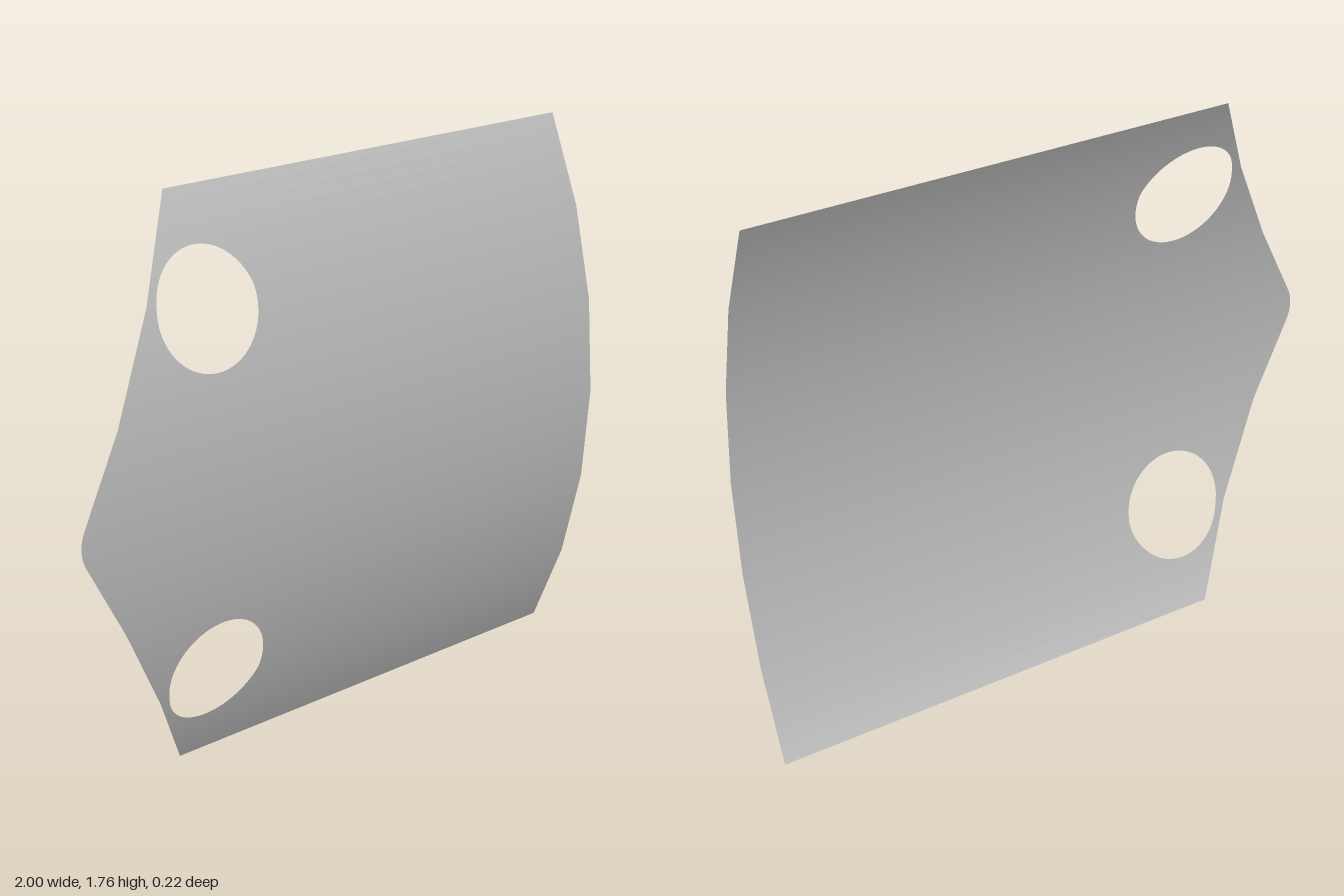
import * as THREE from 'three';
import { mergeGeometries } from 'three/addons/utils/BufferGeometryUtils.js';

const HALF = 0.882;                          // half height of the plate
const FRONT = 0.108, RADIUS = 1.908;         // crest of the bend and its radius
const HOLE = { x: -0.49, v: 0.556, r: 0.173 };
const NOSE = 0.1;                            // rounding of the pointed end
const SLOPE = 0.538, CORNER = -0.54;

// Bend: six flat facets across the height, on one arc (v = height from middle)
const arcZ = v => FRONT - RADIUS + Math.sqrt(RADIUS * RADIUS - v * v);
const maxAngle = Math.asin(HALF / RADIUS);
const folds = [-3, -2, -1, 0, 1, 2, 3].map(i => RADIUS * Math.sin(maxAngle * i / 3));
function bendZ(v) {
  const i = Math.max(0, Math.min(5, folds.findIndex(f => f > v + 1e-9) - 1));
  const k = v >= HALF - 1e-9 ? 5 : i;
  const t = (v - folds[k]) / (folds[k + 1] - folds[k]);
  return THREE.MathUtils.lerp(arcZ(folds[k]), arcZ(folds[k + 1]), t);
}

// Outline and hole edges as x for a given height
const noseTangent = NOSE * Math.sin(Math.atan(SLOPE));
const leftEdge = v => Math.abs(v) < noseTangent
  ? -1 + NOSE - Math.sqrt(NOSE * NOSE - v * v)
  : CORNER - SLOPE * (HALF - Math.abs(v));
const rightEdge = () => 1;
const holeEdge = side => v => {
  const d = Math.abs(v) - HOLE.v;
  return HOLE.x + side * Math.sqrt(Math.max(0, HOLE.r ** 2 - d * d));
};

// Sheet of rows between two edge curves, with smooth normals of the bend
function ribbon(rows, left, right) {
  const pos = [], nor = [], idx = [];
  rows.forEach((v, i) => {
    for (const x of [left(v), right(v)]) {
      pos.push(x, v + HALF, bendZ(v));
      nor.push(0, v / RADIUS, Math.sqrt(1 - (v / RADIUS) ** 2));
    }
    if (i) {
      const a = 2 * i - 2;
      idx.push(a, a + 1, a + 3, a, a + 3, a + 2);
    }
  });
  const g = new THREE.BufferGeometry();
  g.setAttribute('position', new THREE.Float32BufferAttribute(pos, 3));
  g.setAttribute('normal', new THREE.Float32BufferAttribute(nor, 3));
  g.setIndex(idx);
  return g;
}

// Row heights from a to b, always including the folds
function rowsBetween(a, b, n, ease = t => t) {
  const rows = folds.filter(f => f > a + 1e-6 && f < b - 1e-6);
  for (let i = 0; i <= n; i++) rows.push(a + (b - a) * ease(i / n));
  return rows.sort((p, q) => p - q);
}

export function createModel() {
  const group = new THREE.Group();
  const grey = new THREE.MeshStandardMaterial({ color: 0xb0b0b0, side: THREE.DoubleSide });
  grey.name = 'plain grey';

  const inner = HOLE.v - HOLE.r, outer = HOLE.v + HOLE.r;
  const round = t => (1 - Math.cos(Math.PI * t)) / 2;
  const parts = [
    // pointed middle band
    ribbon(rowsBetween(-inner, -noseTangent, 4), leftEdge, rightEdge),
    ribbon(rowsBetween(-noseTangent, noseTangent, 16), leftEdge, rightEdge),
    ribbon(rowsBetween(noseTangent, inner, 4), leftEdge, rightEdge),
    // top and bottom bands
    ribbon(rowsBetween(-HALF, -outer, 4), leftEdge, rightEdge),
    ribbon(rowsBetween(outer, HALF, 4), leftEdge, rightEdge),
  ];
  // bands on either side of each round hole
  for (const [a, b] of [[-outer, -inner], [inner, outer]]) {
    const rows = rowsBetween(a, b, 32, round);
    parts.push(ribbon(rows, leftEdge, holeEdge(-1)), ribbon(rows, holeEdge(1), rightEdge));
  }

  const plate = new THREE.Mesh(mergeGeometries(parts), grey);
  plate.name = 'curvedPlate';
  group.add(plate);
  return group;
}
